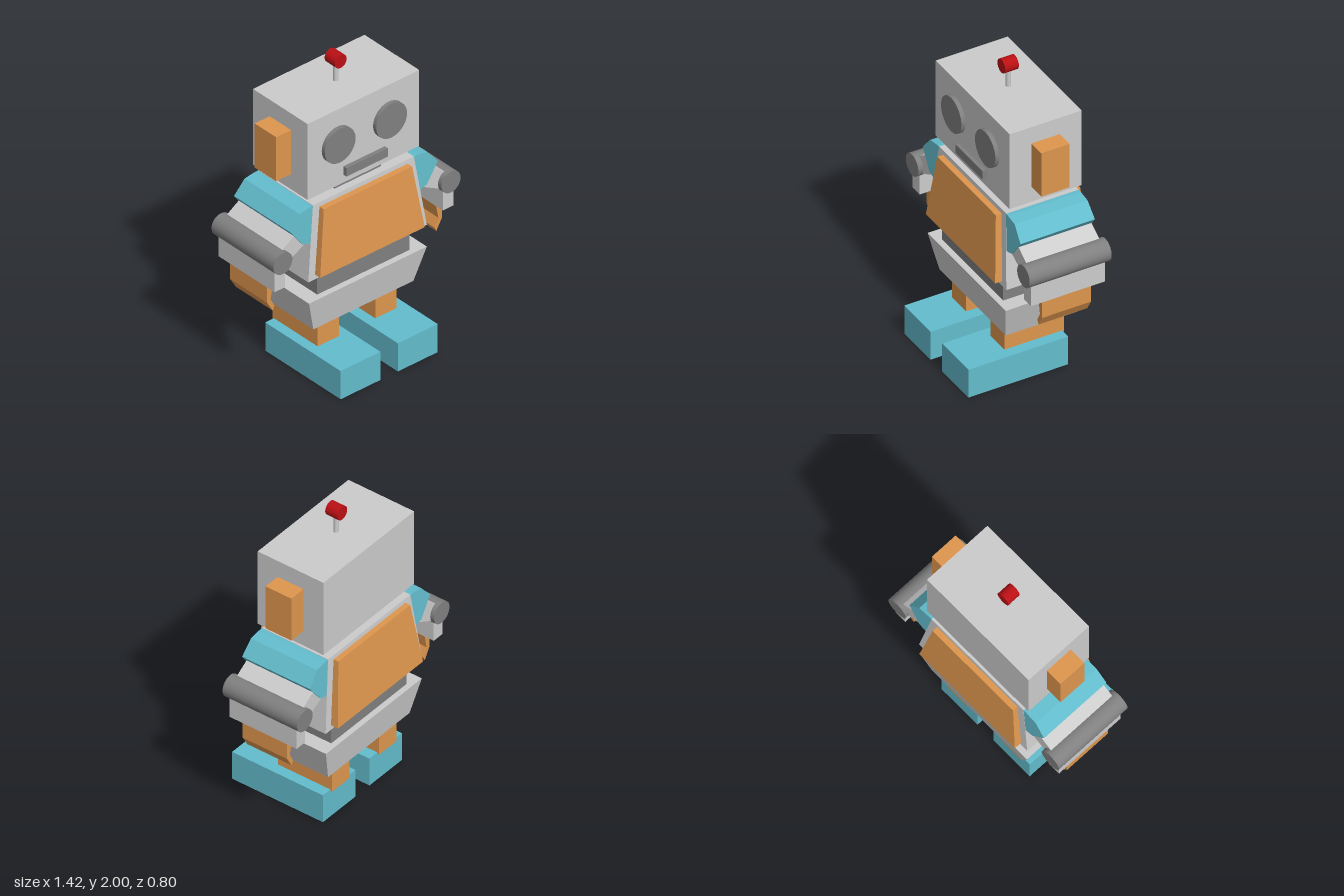
import * as THREE from 'three';

const paint = (color) => new THREE.MeshStandardMaterial({ color });
const grey = paint(0xcccccc);
const dark = paint(0x808080);
const orange = paint(0xde964e);
const teal = paint(0x63bccc);
const red = paint(0xbb1014);

export function createModel() {
  const robot = new THREE.Group();
  robot.name = 'robot';

  const add = (name, geometry, material) => {
    const mesh = new THREE.Mesh(geometry, material);
    mesh.name = name;
    robot.add(mesh);
    return mesh;
  };

  // Block between a bottom and a top rectangle, each [halfWidth, zBack, zFront]
  const loft = (name, material, y0, bottom, y1, top = bottom, x = 0) => {
    const geometry = new THREE.BoxGeometry(2, 2, 2);
    const p = geometry.attributes.position;
    for (let i = 0; i < p.count; i++) {
      const upper = p.getY(i) > 0;
      const [w, back, front] = upper ? top : bottom;
      p.setXYZ(i, x + p.getX(i) * w, upper ? y1 : y0, p.getZ(i) > 0 ? front : back);
    }
    geometry.computeVertexNormals();
    return add(name, geometry, material);
  };

  // Cylinder lying along z
  const rod = (name, material, x, y, radius, back, front) => {
    const geometry = new THREE.CylinderGeometry(radius, radius, front - back, 40);
    geometry.rotateX(Math.PI / 2).translate(x, y, (back + front) / 2);
    return add(name, geometry, material);
  };

  // Outline in x and y, mirrored by side and extruded along z
  const slab = (name, material, side, points, back, front, flare = 0) => {
    const shape = new THREE.Shape(points.map(([x, y]) => new THREE.Vector2(side * x, y)));
    const geometry = new THREE.ExtrudeGeometry(shape, { depth: front - back, bevelEnabled: false });
    geometry.translate(0, 0, back);
    const p = geometry.attributes.position;
    const middle = (back + front) / 2;
    for (let i = 0; i < p.count; i++) {
      const spread = flare * (points[0][1] - p.getY(i));
      p.setZ(i, p.getZ(i) + Math.sign(p.getZ(i) - middle) * spread);
    }
    geometry.computeVertexNormals();
    return add(name, geometry, material);
  };

  // Head and antenna
  loft('head', grey, 1.28, [0.423, -0.315, 0.163], 1.805);
  loft('mouth', dark, 1.335, [0.157, 0.15, 0.19], 1.393, undefined, 0.006);
  loft('neck', dark, 1.2, [0.177, -0.265, 0.115], 1.29);
  const stem = add('antennaStem', new THREE.CylinderGeometry(0.016, 0.016, 0.14, 20), grey);
  stem.position.set(-0.003, 1.86, -0.075);
  rod('antennaTip', red, -0.004, 1.955, 0.045, -0.12, -0.03);

  // Torso with front and back panels
  loft('torso', grey, 0.74, [0.45, -0.352, 0.2], 1.225, [0.383, -0.318, 0.163]);
  loft('frontPanel', orange, 0.77, [0.397, 0.17, 0.243], 1.197, [0.335, 0.14, 0.203]);
  loft('backPanel', orange, 0.77, [0.397, -0.4, -0.32], 1.197, [0.335, -0.355, -0.29]);
  loft('waist', dark, 0.58, [0.35, -0.315, 0.163], 0.75);
  loft('pelvis', grey, 0.365, [0.38, -0.315, 0.163], 0.593, [0.447, -0.352, 0.203]);

  for (const side of [1, -1]) {
    const label = side > 0 ? 'left' : 'right';

    // Face
    rod(label + 'Eye', dark, side * 0.195 - 0.004, 1.572, 0.117, 0.14, 0.19);
    loft(label + 'Ear', orange, 1.385, [0.06, -0.17, 0.018], 1.69, undefined, side * 0.476);

    // Shoulder and arm
    slab(label + 'Shoulder', teal, side,
      [[0.37, 1.222], [0.41, 1.222], [0.485, 1.21], [0.56, 1.12], [0.47, 1.0], [0.41, 0.985]],
      -0.317, 0.163, 0.065);
    slab(label + 'UpperArm', grey, side,
      [[0.44, 1.13], [0.51, 1.087], [0.66, 0.99], [0.605, 0.9], [0.43, 0.995]],
      -0.32, 0.163);
    rod(label + 'Elbow', dark, side * 0.638, 0.951, 0.072, -0.348, 0.195);
    loft(label + 'Forearm', grey, 0.757, [0.04, -0.32, 0.168], 0.95, undefined, side * 0.639);
    slab(label + 'Hand', orange, side,
      [[0.663, 0.76], [0.663, 0.635], [0.621, 0.563], [0.607, 0.592], [0.637, 0.648], [0.615, 0.76]],
      -0.238, 0.085);

    // Leg and foot
    loft(label + 'Leg', orange, 0.185, [0.081, -0.275, 0.12], 0.375, undefined, side * 0.219 - 0.01);
    loft(label + 'Foot', teal, 0, [0.151, -0.262, 0.398], 0.195, undefined, side * 0.217 - 0.008);
  }

  return robot;
}
